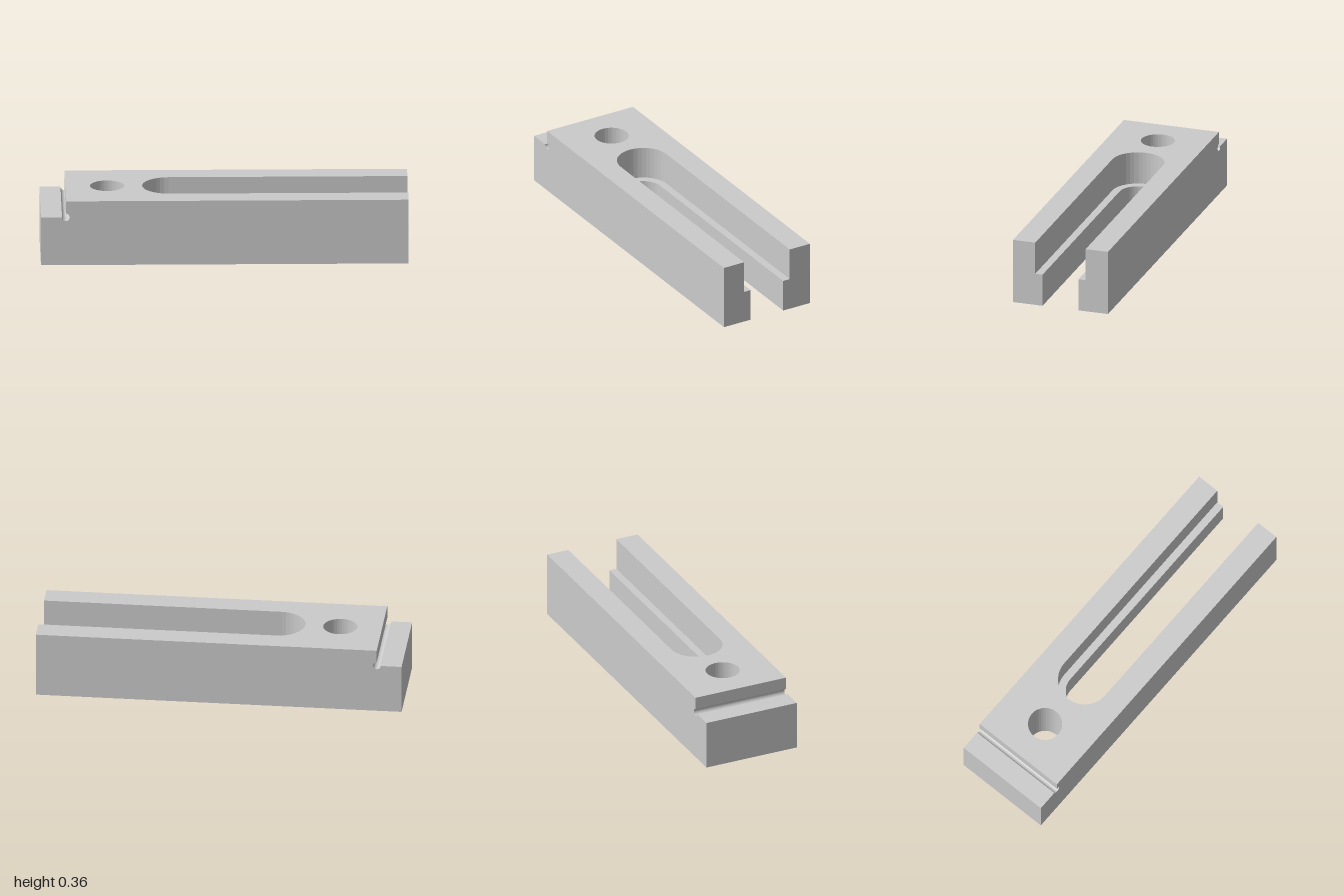
import * as THREE from 'three';
import { mergeGeometries } from 'three/addons/utils/BufferGeometryUtils.js';

const W = 0.273, H = 0.364;              // half depth and height of the block
const SHELF = 0.182;                     // height of the slot's inner shelf
const UPPER = 0.145, LOWER = 0.103;      // half widths of the stepped slot
const SLOT_X = -0.3;                     // centre of the slot's round end
const HOLE_X = -0.636, HOLE_R = 0.093;
const STEP_X = -0.864, STEP_Y = 0.273, GROOVE_R = 0.021;

const v2 = (x, y) => new THREE.Vector2(x, y);

function arc(cx, cy, r, from, to, n) {
  return Array.from({ length: n + 1 }, (_, i) => {
    const t = from + (to - from) * i / n;
    return v2(cx + r * Math.cos(t), cy + r * Math.sin(t));
  });
}

// Slot outline in plan (x, z), open at the x = 1 end
const slotLine = w => [v2(1, w), ...arc(SLOT_X, 0, w, Math.PI / 2, Math.PI * 1.5, 20), v2(1, -w)];

// Flat face, optionally with a hole
function face(points, hole) {
  const shape = new THREE.Shape(points);
  if (hole) shape.holes.push(new THREE.Path(hole));
  const g = new THREE.ShapeGeometry(shape).toNonIndexed();
  g.deleteAttribute('uv');
  return g;
}

// Strip of quads: a 3D line swept along one direction
function sweep(line, dir) {
  const pos = [];
  for (let i = 0; i < line.length - 1; i++) {
    const a = line[i], b = line[i + 1];
    const c = b.clone().add(dir), d = a.clone().add(dir);
    for (const p of [a, b, c, a, c, d]) pos.push(p.x, p.y, p.z);
  }
  const g = new THREE.BufferGeometry();
  g.setAttribute('position', new THREE.Float32BufferAttribute(pos, 3));
  g.computeVertexNormals();
  return g;
}

// Upright wall over a plan line
const wall = (line, y0, y1) =>
  sweep(line.map(p => new THREE.Vector3(p.x, y0, p.y)), new THREE.Vector3(0, y1 - y0, 0));

export function createModel() {
  const group = new THREE.Group();
  const material = new THREE.MeshStandardMaterial({ color: 0xcccccc, flatShading: true });
  const add = (name, parts) => {
    const mesh = new THREE.Mesh(mergeGeometries(parts), material);
    mesh.name = name;
    group.add(mesh);
  };

  const holeLine = arc(HOLE_X, 0, HOLE_R, 0, Math.PI * 2, 40);
  const plan = (x0, w) => [v2(x0, -W), v2(1, -W), ...slotLine(w).reverse(), v2(1, W), v2(x0, W)];

  // Top and underside
  add('topFace', [face(plan(STEP_X, UPPER), holeLine).rotateX(-Math.PI / 2).translate(0, H, 0)]);
  add('underside', [face(plan(-1, LOWER), holeLine).rotateX(Math.PI / 2)]);

  // Stepped end with its round relief groove
  const stepLine = [
    v2(STEP_X, H),
    ...arc(STEP_X, STEP_Y, GROOVE_R, Math.PI / 2, -Math.PI, 24),
    v2(-1, STEP_Y), v2(-1, 0),
  ];
  add('steppedEnd', [sweep(stepLine.map(p => new THREE.Vector3(p.x, p.y, -W)), new THREE.Vector3(0, 0, 2 * W))]);

  // Long sides
  const profile = [...stepLine, v2(1, 0), v2(1, H)];
  add('frontSide', [face(profile).translate(0, 0, W)]);
  add('backSide', [face(profile.map(p => v2(-p.x, p.y))).rotateY(Math.PI).translate(0, 0, -W)]);

  // Open end: one L-shaped face on each arm
  const armEnd = [[LOWER, 0], [W, 0], [W, H], [UPPER, H], [UPPER, SHELF], [LOWER, SHELF]];
  add('armEnds', [1, -1].map(s =>
    face(armEnd.map(([z, y]) => v2(s * z, y))).rotateY(Math.PI / 2).translate(1, 0, 0)));

  // Stepped slot: lower wall, shelf, upper wall
  add('slot', [
    wall(slotLine(LOWER), 0, SHELF),
    wall(slotLine(UPPER), SHELF, H),
    face([...slotLine(UPPER), ...slotLine(LOWER).reverse()]).rotateX(-Math.PI / 2).translate(0, SHELF, 0),
  ]);

  // Straight through hole
  add('throughHole', [wall(holeLine, 0, H)]);

  return group;
}
